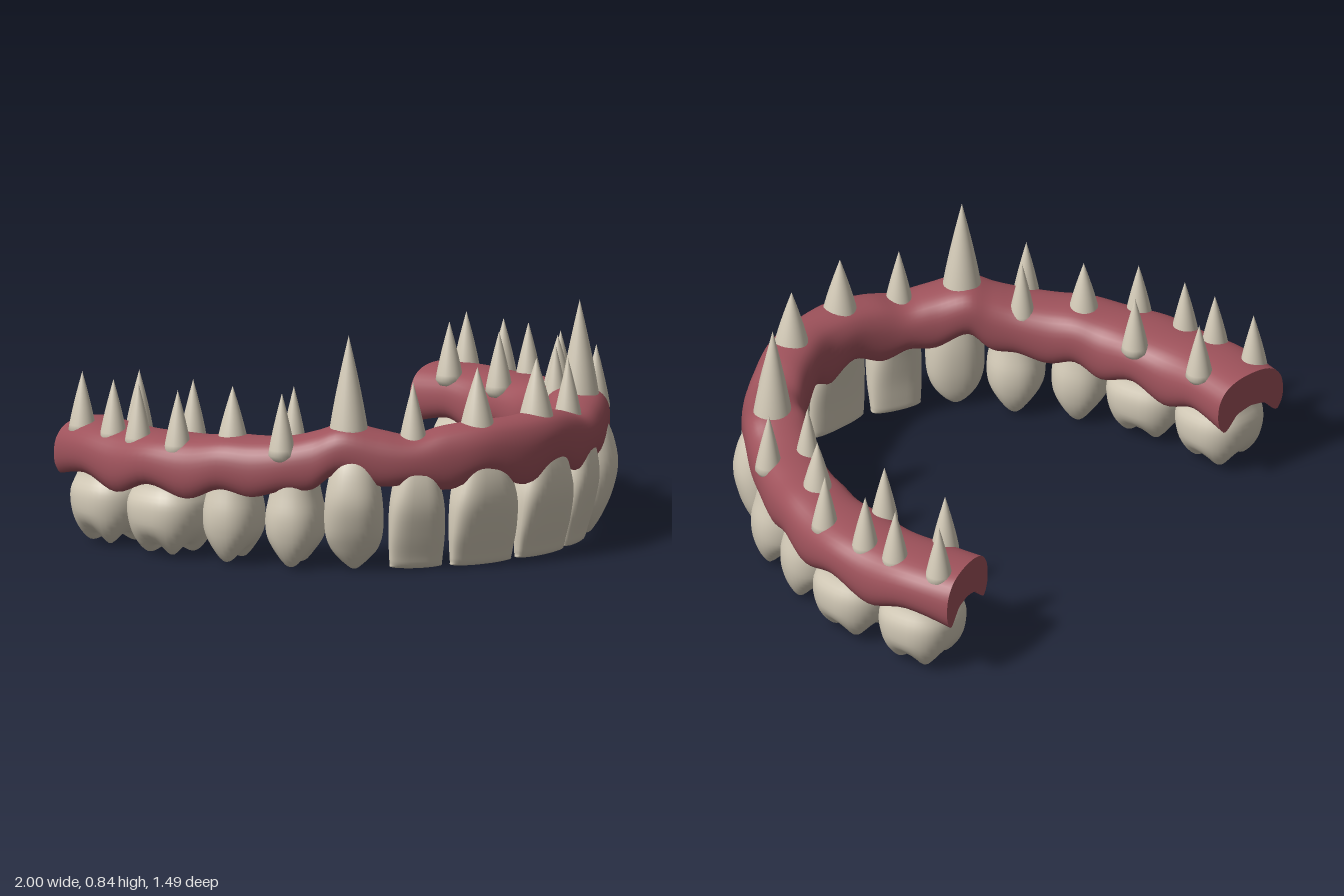
import * as THREE from 'three';
import { mergeGeometries } from 'three/addons/utils/BufferGeometryUtils.js';

// Smooth interpolation through rows of numbers, t from 0 to 1
function sample(rows, t) {
  const n = rows.length - 1, p = t * n, i = Math.min(Math.floor(p), n - 1), f = p - i;
  const at = (k) => rows[Math.max(0, Math.min(n, k))];
  const a = at(i - 1), b = at(i), c = at(i + 1), d = at(i + 2);
  return b.map((v, k) => {
    const m0 = (c[k] - a[k]) / 2, m1 = (d[k] - v) / 2, e = c[k] - v;
    return v + f * (m0 + f * (3 * e - 2 * m0 - m1 + f * (m0 + m1 - 2 * e)));
  });
}

// Smooth skin over closed rings with equal point counts
function loft(rings) {
  const n = rings[0].length, index = [];
  for (let i = 0; i < rings.length - 1; i++) {
    for (let j = 0; j < n; j++) {
      const a = i * n + j, b = i * n + (j + 1) % n;
      index.push(a, b, a + n, b, b + n, a + n);
    }
  }
  const geo = new THREE.BufferGeometry();
  geo.setAttribute('position', new THREE.Float32BufferAttribute(rings.flat(2), 3));
  geo.setIndex(index);
  geo.computeVertexNormals();
  return geo;
}

// Flat end cap as a fan around a centre
function cap(ring, centre, flip) {
  const index = [];
  const n = ring.length;
  for (let j = 0; j < n; j++) {
    const k = (j + 1) % n;
    index.push(n, flip ? k : j, flip ? j : k);
  }
  const geo = new THREE.BufferGeometry();
  geo.setAttribute('position', new THREE.Float32BufferAttribute([...ring, centre].flat(), 3));
  geo.setIndex(index);
  geo.computeVertexNormals();
  return geo;
}

// Half of the arch from the front middle to the back: x, z, half width, top y, bottom y
const ARCH = [
  [0, 0.637, 0.105, 0.525, 0.295], [0.135, 0.618, 0.105, 0.525, 0.345],
  [0.26, 0.572, 0.107, 0.512, 0.30], [0.36, 0.52, 0.11, 0.485, 0.325],
  [0.45, 0.452, 0.115, 0.505, 0.32], [0.54, 0.365, 0.12, 0.53, 0.37],
  [0.60, 0.29, 0.122, 0.50, 0.305], [0.657, 0.21, 0.125, 0.475, 0.295],
  [0.715, 0.11, 0.13, 0.466, 0.265], [0.765, 0.01, 0.135, 0.465, 0.285],
  [0.803, -0.1, 0.145, 0.452, 0.24], [0.832, -0.245, 0.155, 0.445, 0.275],
  [0.842, -0.395, 0.156, 0.44, 0.225], [0.837, -0.55, 0.155, 0.44, 0.268],
  [0.808, -0.718, 0.153, 0.437, 0.24],
];

// Gum section: across (-1 inside, 1 outside) and up (0 to 1), grooved below
const HALF = [[0, 1], [0.4, 0.97], [0.72, 0.87], [0.93, 0.67], [1, 0.42], [0.97, 0.18], [0.83, 0], [0.68, 0.04], [0.45, 0.24], [0, 0.32]];
const SECTION = [...HALF.slice(1).reverse().map(([u, v]) => [-u, v]), ...HALF];

function gumGeometry() {
  const rows = [...ARCH.slice(1).reverse().map(([x, ...r]) => [-x, ...r]), ...ARCH];
  const steps = 140, around = 48, rings = [], centres = [];
  for (let i = 0; i <= steps; i++) {
    const t = i / steps;
    const [x, z, w, top, low] = sample(rows, t);
    const a = sample(rows, Math.max(0, t - 0.004)), b = sample(rows, Math.min(1, t + 0.004));
    const len = Math.hypot(b[0] - a[0], b[1] - a[1]);
    const nx = -(b[1] - a[1]) / len, nz = (b[0] - a[0]) / len;
    const ring = [];
    for (let j = 0; j < around; j++) {
      const [u, v] = sample(SECTION, j / around);
      ring.push([x + nx * w * u, low + (top - low) * v, z + nz * w * u]);
    }
    rings.push(ring);
    centres.push([x, low + (top - low) * 0.6, z]);
  }
  return mergeGeometries([
    loft(rings), cap(rings[0], centres[0], true), cap(rings[steps], centres[steps], false),
  ]);
}

// Tooth rows from neck to biting edge: y, half width, half depth, outward offset.
// power squares the section, rise lifts the corners, cusps are raised bumps.
const SHAPES = {
  incisor: {
    rows: [[0.42, 0.08, 0.06, 0.01], [0.33, 0.105, 0.075, 0.018], [0.24, 0.128, 0.07, 0.024], [0.14, 0.133, 0.052, 0.018],
      [0.06, 0.128, 0.037, 0.008], [0.024, 0.124, 0.03, 0.004], [0.011, 0.114, 0.019, 0.002], [0.01, 0, 0, 0]],
    power: 0.7, rise: 0.004, cusps: 0, bump: 0,
  },
  canine: {
    rows: [[0.44, 0.06, 0.06, 0.01], [0.36, 0.085, 0.085, 0.02], [0.26, 0.103, 0.098, 0.024], [0.16, 0.105, 0.085, 0.016],
      [0.08, 0.09, 0.06, 0.006], [0.03, 0.066, 0.035, 0], [0.012, 0.035, 0.018, 0], [0.008, 0, 0, 0]],
    power: 0.9, rise: 0.03, cusps: 0, bump: 0,
  },
  premolar: {
    rows: [[0.36, 0.075, 0.09, 0], [0.28, 0.088, 0.105, 0], [0.2, 0.104, 0.122, 0], [0.13, 0.102, 0.12, 0],
      [0.075, 0.084, 0.1, 0], [0.035, 0.052, 0.066, 0], [0.04, 0.022, 0.03, 0], [0.045, 0, 0, 0]],
    power: 0.9, rise: 0.01, cusps: 2, bump: 0.022,
  },
  molar: {
    rows: [[0.34, 0.115, 0.11, 0], [0.265, 0.127, 0.122, 0], [0.2, 0.15, 0.148, 0], [0.13, 0.146, 0.146, 0],
      [0.075, 0.122, 0.124, 0], [0.036, 0.08, 0.084, 0], [0.042, 0.035, 0.04, 0], [0.05, 0, 0, 0]],
    power: 0.82, rise: 0, cusps: 4, bump: 0.02,
  },
};

function toothGeometry({ rows, power, rise, cusps, bump }, width) {
  const levels = 28, around = 36, rings = [];
  const bend = (v) => Math.sign(v) * Math.abs(v) ** power;
  for (let i = 0; i <= levels; i++) {
    const [y, w, d, o] = sample(rows, i / levels);
    const low = THREE.MathUtils.clamp(1.3 - y / 0.1, 0, 1) * Math.min(1, w / 0.05);
    const ring = [];
    for (let j = 0; j < around; j++) {
      const a = (j / around) * Math.PI * 2, c = bend(Math.cos(a));
      const lift = low * (rise * c * c + bump * (cusps ? Math.cos(cusps * a) : 0));
      ring.push([w * c * width, y + lift, o + d * bend(Math.sin(a))]);
    }
    rings.push(ring);
  }
  return loft(rings);
}

// Name, shape, x, z, outward angle in degrees, width scale
const TEETH = [
  ['centralIncisor', 'incisor', 0.136, 0.632, 9, 1],
  ['lateralIncisor', 'incisor', 0.362, 0.543, 28, 0.76],
  ['canine', 'canine', 0.537, 0.412, 45, 1],
  ['firstPremolar', 'premolar', 0.658, 0.232, 57, 1],
  ['secondPremolar', 'premolar', 0.762, 0.016, 66, 1],
  ['firstMolar', 'molar', 0.836, -0.24, 82, 1],
  ['secondMolar', 'molar', 0.846, -0.544, 93, 0.97],
];

// Pointed roots: x, z, base y, tip y, radius
const ROOTS = [
  [0.138, 0.62, 0.46, 0.72, 0.07], [0.362, 0.53, 0.43, 0.68, 0.055], [0.54, 0.385, 0.45, 0.85, 0.076],
  [0.735, 0.247, 0.40, 0.645, 0.052], [0.612, 0.168, 0.40, 0.645, 0.05], [0.76, 0.005, 0.41, 0.64, 0.06],
  [0.895, -0.138, 0.385, 0.62, 0.052], [0.715, -0.265, 0.385, 0.62, 0.052], [0.912, -0.335, 0.385, 0.62, 0.052],
  [0.912, -0.472, 0.385, 0.615, 0.052], [0.725, -0.55, 0.385, 0.615, 0.052], [0.898, -0.66, 0.385, 0.615, 0.052],
];

function rootGeometry(height, radius) {
  const profile = [new THREE.Vector2(0, -0.01), new THREE.Vector2(radius * 0.7, 0)];
  for (let i = 1; i <= 12; i++) {
    const t = i / 12;
    profile.push(new THREE.Vector2(radius * Math.max(0, 1 - t ** 1.25), height * t));
  }
  return new THREE.LatheGeometry(profile, 24);
}

export function createModel() {
  const gumPink = new THREE.MeshStandardMaterial({ name: 'gumPink', color: 0x9e525b });
  const ivory = new THREE.MeshStandardMaterial({ name: 'ivory', color: 0xd5ccb9 });
  const model = new THREE.Group();
  model.name = 'upperDentalArch';
  const add = (name, geo, mat) => {
    const mesh = new THREE.Mesh(geo, mat);
    mesh.name = name;
    model.add(mesh);
    return mesh;
  };

  add('gum', gumGeometry(), gumPink);

  // Matching teeth and roots on both sides
  for (const [side, s] of [['left', 1], ['right', -1]]) {
    for (const [name, shape, x, z, angle, width] of TEETH) {
      const tooth = add(`${side} ${name}`, toothGeometry(SHAPES[shape], width), ivory);
      tooth.position.set(s * x, 0, z);
      tooth.rotation.y = s * THREE.MathUtils.degToRad(angle);
    }
    ROOTS.forEach(([x, z, base, tip, radius], i) => {
      const root = add(`${side} root ${i + 1}`, rootGeometry(tip - base, radius), ivory);
      root.position.set(s * x, base, z);
    });
  }
  return model;
}
